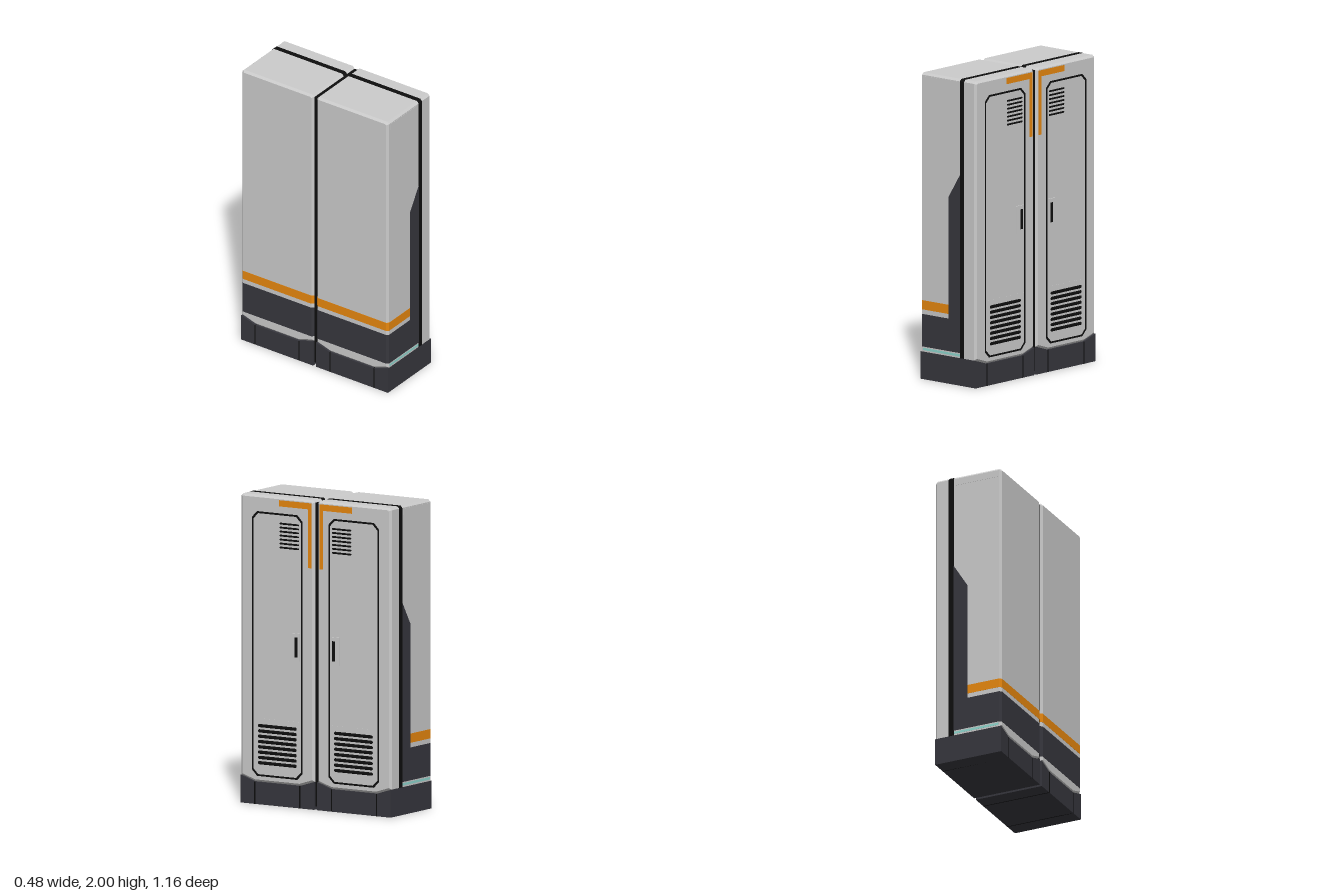
import * as THREE from 'three';

const paint = (color) => new THREE.MeshStandardMaterial({ color, flatShading: true });
const GREY = paint(0xcccccc), DARK = paint(0x37373e), BLACK = paint(0x0e0e0e);
const ORANGE = paint(0xe8880f), TEAL = paint(0x8fd8d0);

const BACK = -0.24, FRONT = 0.23;      // the doors face +x
const HALF = 0.2825, MID = 0.2945;     // half width and centre of one locker along z
const CH = 0.014;                      // edge chamfer

const toShape = (pts) => new THREE.Shape(pts.map(([a, b]) => new THREE.Vector2(a, b)));

// Outline in z and y (symmetric in z), extruded along x from x0 to x1
function alongX(shape, x0, x1, bevel = 0) {
  const g = new THREE.ExtrudeGeometry(shape, {
    depth: x1 - x0 - 2 * bevel, bevelEnabled: bevel > 0, bevelSegments: 1,
    bevelThickness: bevel, bevelSize: bevel, bevelOffset: -bevel,
  });
  return g.rotateY(Math.PI / 2).translate(x0 + bevel, 0, 0);
}

// Rectangle with cut corners; the top cut is optional
function cutRect(hw, y0, y1, c, top = c) {
  return [[-hw + c, y0], [hw - c, y0], [hw, y0 + c], [hw, y1 - top],
    [hw - top, y1], [-hw + top, y1], [-hw, y1 - top], [-hw, y0 + c]];
}

// Plan outline wrapping the back and both sides, extruded from y0 to y1
function wrapBand(x1, y0, y1) {
  const h = HALF + 0.001, b = BACK - 0.001;
  const s = toShape([[x1, -h], [x1, h], [b + CH, h], [b, h - CH], [b, -h + CH], [b + CH, -h]]);
  return new THREE.ExtrudeGeometry(s, { depth: y1 - y0, bevelEnabled: false })
    .rotateX(-Math.PI / 2).translate(0, y0, 0);
}

function createLocker(side) {
  const locker = new THREE.Group();
  locker.name = side > 0 ? 'leftLocker' : 'rightLocker';
  locker.position.z = side * MID;

  const add = (name, geometry, material) => {
    const m = new THREE.Mesh(geometry, material);
    m.name = name;
    locker.add(m);
    return m;
  };
  const box = (name, mat, x0, x1, y0, y1, z0, z1) => add(name,
    new THREE.BoxGeometry(x1 - x0, y1 - y0, Math.abs(z1 - z0))
      .translate((x0 + x1) / 2, (y0 + y1) / 2, (z0 + z1) / 2), mat);
  // Distance from the centre seam to the local z of this locker
  const fromSeam = (d) => side * (d - MID);

  // Cabinet with a dipped lower edge, and the plinth that fits below it
  const dip = [[-HALF, 0.18], [-0.173, 0.145], [0.173, 0.145], [HALF, 0.18]];
  add('cabinet', alongX(toShape([...dip, [HALF, 2 - CH], [HALF - CH, 2],
    [-HALF + CH, 2], [-HALF, 2 - CH]]), BACK, FRONT, CH), GREY);
  add('plinth', alongX(toShape([[-HALF, 0], [HALF, 0], ...dip.slice().reverse()]),
    BACK, FRONT), DARK);
  for (const z of [-0.173, 0.173]) {
    box('plinthSeam', BLACK, BACK - 0.001, FRONT + 0.001, 0, 0.145, z - 0.004, z + 0.004);
  }

  // Black strap around the sides and top
  const h = HALF + 0.002;
  add('strap', alongX(toShape([[-h, 0.18], [h, 0.18], [h, 2 - CH], [h - CH, 2.001],
    [-h + CH, 2.001], [-h, 2 - CH]]), 0.097, 0.132), BLACK);

  // Coloured bands around the back and the rising dark side panel
  add('darkBand', wrapBand(0.1, 0.213, 0.425), DARK);
  add('orangeBand', wrapBand(0, 0.455, 0.515), ORANGE);
  const rise = toShape([[0, 0.42], [0.1, 0.42], [0.1, 1.38], [0, 1.22]]);
  add('sidePanel', new THREE.ExtrudeGeometry(rise,
    { depth: 2 * HALF + 0.002, bevelEnabled: false }).translate(0, 0, -HALF - 0.001), DARK);
  box('tealStripe', TEAL, -0.22, 0.095, 0.19, 0.205, -HALF - 0.001, HALF + 0.001);
  box('sidePlate', GREY, -0.215, 0.085, 1.94, 1.98, -HALF - 0.0015, HALF + 0.0015);

  // Door: black gasket ring, panel and raised lower panel
  const ring = toShape(cutRect(0.194, 0.183, 1.895, 0.04));
  ring.holes.push(toShape(cutRect(0.182, 0.195, 1.883, 0.036)));
  add('doorGasket', alongX(ring, FRONT - 0.005, FRONT + 0.002), BLACK);
  add('doorPanel', alongX(toShape(cutRect(0.182, 0.195, 1.883, 0.036)),
    FRONT - 0.005, FRONT + 0.001), GREY);
  add('lowerPanel', alongX(toShape(cutRect(0.182, 0.195, 0.557, 0.036, 0.001)),
    FRONT - 0.005, FRONT + 0.002), GREY);

  // Rows of rounded vent slots
  const vent = (name, count, yTop, pitch, radius, d0, d1) => {
    for (let i = 0; i < count; i++) {
      const g = new THREE.CapsuleGeometry(radius, d1 - d0 - 2 * radius, 4, 8)
        .rotateX(Math.PI / 2).scale(0.4, 1, 1);
      add(name, g, BLACK).position.set(FRONT + 0.001, yTop - i * pitch, fromSeam((d0 + d1) / 2));
    }
  };
  vent('upperVentSlot', 7, 1.83, 0.0258, 0.006, 0.127, 0.276);
  vent('lowerVentSlot', 8, 0.51, 0.0343, 0.0115, 0.143, 0.442);

  // Handle plate with its grip slot
  box('handlePlate', GREY, FRONT - 0.005, 0.239, 0.95, 1.13, fromSeam(0.122), fromSeam(0.19));
  box('handleSlot', BLACK, FRONT, 0.24, 0.975, 1.105, fromSeam(0.132), fromSeam(0.155));

  // Orange corner mark beside the seam
  box('cornerMark', ORANGE, FRONT - 0.005, FRONT + 0.001, 1.94, 1.98, fromSeam(0.03), fromSeam(0.28));
  box('cornerMark', ORANGE, FRONT - 0.005, FRONT + 0.001, 1.56, 1.94, fromSeam(0.03), fromSeam(0.057));
  return locker;
}

export function createModel() {
  const model = new THREE.Group();
  model.name = 'doubleLocker';
  for (const side of [1, -1]) model.add(createLocker(side));

  // Dark seal filling the gap between the two lockers
  const seal = new THREE.Mesh(new THREE.BoxGeometry(0.44, 1.965, 0.026), BLACK);
  seal.name = 'seal';
  seal.position.set(-0.005, 1.0025, 0);
  model.add(seal);
  return model;
}
